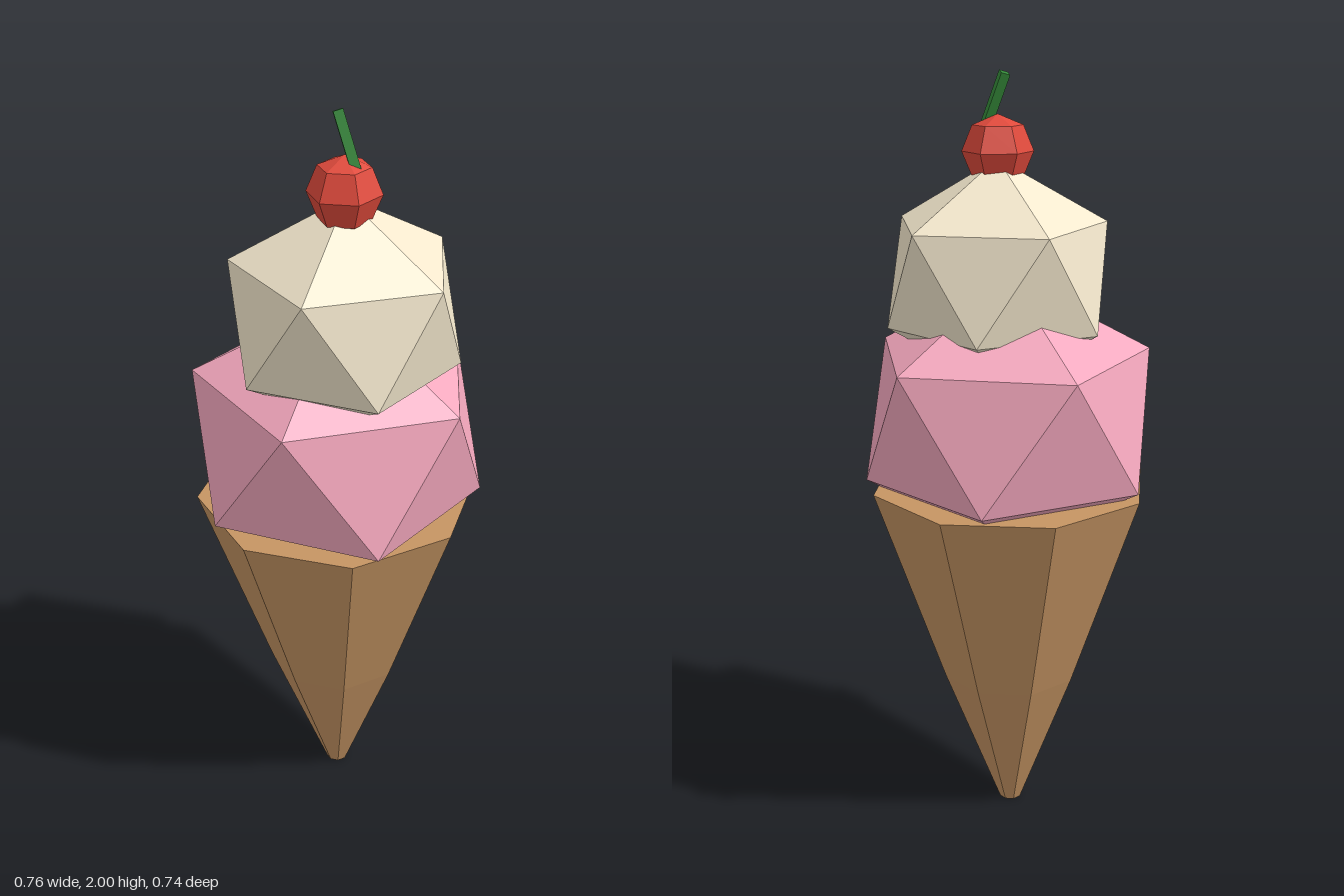
import * as THREE from 'three';

function part(name, geometry, color, x, y, z) {
  const material = new THREE.MeshStandardMaterial({ color, flatShading: true });
  const mesh = new THREE.Mesh(geometry, material);
  mesh.name = name;
  mesh.position.set(x, y, z);
  return mesh;
}

// Icosahedron standing on one corner, slightly squashed in height
function scoopGeometry(radius, halfHeight) {
  const g = new THREE.IcosahedronGeometry(1, 0);
  g.rotateZ(-Math.atan(2 / (1 + Math.sqrt(5))));
  g.scale(radius, halfHeight, radius);
  return g;
}

export function createModel() {
  const group = new THREE.Group();
  group.name = 'iceCream';

  // Eight-sided cone, closed at the rim, with a slight bulge
  const profile = [[0, 0], [0.03, 0], [0.185, 0.4], [0.372, 0.94], [0, 0.94]]
    .map(([r, y]) => new THREE.Vector2(r, y));
  group.add(part('cone', new THREE.LatheGeometry(profile, 8), 0xc69563, -0.007, 0, 0));

  // Two stacked scoops
  group.add(part('lowerScoop', scoopGeometry(0.42, 0.37), 0xf6a9bf, 0.002, 1.127, 0.003));
  group.add(part('upperScoop', scoopGeometry(0.321, 0.296), 0xf4e8cd, 0.047, 1.4875, 0.03));

  // Cherry with a corner facing the front
  const cherry = new THREE.SphereGeometry(0.092, 6, 4);
  cherry.rotateY(Math.PI / 6);
  group.add(part('cherry', cherry, 0xe04a3c, 0.054, 1.8, 0.046));

  // Slanted four-sided stem
  const base = new THREE.Vector3(0.095, 1.845, 0.046);
  const tip = new THREE.Vector3(0.034, 1.993, 0.046);
  const middle = base.clone().lerp(tip, 0.5);
  const stem = part('stem', new THREE.CylinderGeometry(0.017, 0.017, base.distanceTo(tip), 4),
    0x358a3a, middle.x, middle.y, middle.z);
  stem.rotation.z = Math.atan2(base.x - tip.x, tip.y - base.y);
  group.add(stem);

  return group;
}
